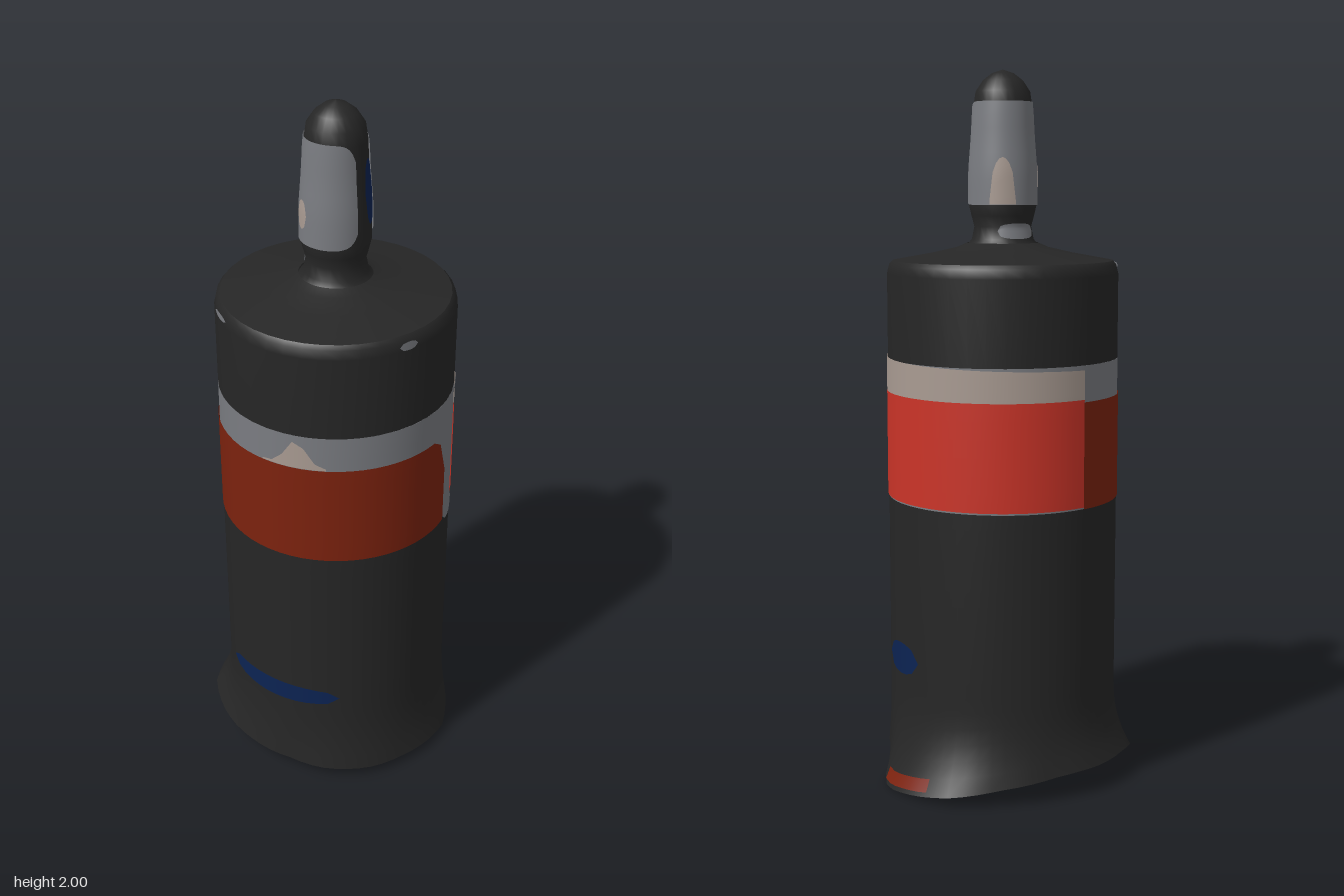
import * as THREE from 'three';
import { mergeVertices } from 'three/addons/utils/BufferGeometryUtils.js';

const mat = (name, color) => new THREE.MeshStandardMaterial({ name, color, side: THREE.DoubleSide });

// Linear lookup in rows of [key, value, ...]
function lookup(rows, key, col = 1) {
  if (key <= rows[0][0]) return rows[0][col];
  for (let i = 1; i < rows.length; i++) {
    if (key <= rows[i][0]) {
      const t = (key - rows[i - 1][0]) / (rows[i][0] - rows[i - 1][0]);
      return THREE.MathUtils.lerp(rows[i - 1][col], rows[i][col], t);
    }
  }
  return rows[rows.length - 1][col];
}

// Ragged lower rim: angle in degrees from the front, radius, height
const RIM = [
  [0, .335, .045], [17, .345, .04], [42, .345, .03], [60, .345, .03], [90, .36, .03],
  [113, .34, .07], [135, .33, .065], [145, .35, .035], [153, .382, .005], [160, .388, 0],
  [178, .395, .015], [193, .395, .03], [214, .36, .05], [239, .35, .07], [250, .355, .075],
  [265, .361, .075], [283, .37, .08], [295, .38, .075], [303, .37, .06], [336, .345, .05],
  [360, .335, .045],
];
const wrap = (a) => ((a % 360) + 360) % 360;
const rimY = (a) => lookup(RIM, wrap(a), 2);

// Body radius: straight wall that flares into the rim
function bodyRadius(a, y) {
  const r = lookup(RIM, wrap(a));
  const t = THREE.MathUtils.clamp((0.24 - y) / (0.24 - rimY(a)), 0, 1);
  return 0.326 + (r - 0.326) * t * t;
}

// Knob profile: height, radius
const KNOB = [
  [1.52, .1], [1.535, .087], [1.57, .08], [1.6, .088], [1.63, .095], [1.72, .094],
  [1.82, .086], [1.9, .082], [1.94, .076], [1.97, .056], [1.99, .03], [2, 0],
];
const knobRadius = (a, y) => lookup(KNOB, y);

// Curved sheet between two angles; lo and hi give its lower and upper edge
function sheet(radius, a0, a1, lo, hi, offset = 0, rows = 6) {
  const cols = Math.max(6, Math.ceil((a1 - a0) / 6));
  const pos = [], index = [];
  for (let i = 0; i <= cols; i++) {
    const u = i / cols, a = a0 + (a1 - a0) * u;
    const y0 = typeof lo === 'function' ? lo(u, a) : lo;
    const y1 = typeof hi === 'function' ? hi(u, a) : hi;
    for (let j = 0; j <= rows; j++) {
      const y = y0 + (y1 - y0) * j / rows;
      const r = radius(a, y) + offset, t = wrap(a) * Math.PI / 180;
      pos.push(r * Math.sin(t), y, r * Math.cos(t));
      if (i < cols && j < rows) {
        const p = i * (rows + 1) + j, q = p + rows + 1;
        index.push(p, q, q + 1, p, q + 1, p + 1);
      }
    }
  }
  let g = new THREE.BufferGeometry();
  g.setAttribute('position', new THREE.Float32BufferAttribute(pos, 3));
  g.setIndex(index);
  g = mergeVertices(g, 1e-5);
  g.computeVertexNormals();
  return g;
}

export function createModel() {
  const black = mat('black', 0x262626);
  const darkRed = mat('dark red', 0x7c220e);
  const red = mat('bright red', 0xcb3428);
  const grey = mat('grey', 0x7a7c81);
  const beige = mat('beige', 0xa99b92);
  const blue = mat('blue', 0x0c2352);

  const group = new THREE.Group();
  const add = (name, geometry, material) => {
    const m = new THREE.Mesh(geometry, material);
    m.name = name;
    m.position.z = 0.03;
    group.add(m);
  };
  const lathe = (pts, n = 40) => new THREE.LatheGeometry(pts.map(([r, y]) => new THREE.Vector2(r, y)), n);
  // Rounded patch edges: 0 at both ends, 1 in the middle
  const bulge = (u, k = 0.5) => Math.pow(Math.max(0, 1 - (2 * u - 1) ** 2), k);
  const oval = (radius, a0, a1, y0, y1, off, k) => {
    const c = (y0 + y1) / 2, h = (y1 - y0) / 2;
    return sheet(radius, a0, a1, (u) => c - h * bulge(u, k), (u) => c + h * bulge(u, k), off);
  };

  // Hollow body
  add('lowerBody', sheet(bodyRadius, 0, 360, (u, a) => rimY(a), 0.81, 0, 18), black);
  add('bandBase', sheet(bodyRadius, 0, 360, 0.81, 1.205), grey);
  add('upperBody', lathe([[.326, 1.205], [.326, 1.44], [.32, 1.465], [.31, 1.476]]), black);
  add('shoulder', lathe([[.31, 1.476], [.2, 1.496], [.13, 1.512], [.1, 1.525]]), black);

  // Coloured bands, with rounded corners beside the vertical seam
  add('frontBand', sheet(bodyRadius, 257, 450, 0.81,
    (u) => 1.105 - 0.12 * Math.max(0, (u - 0.93) / 0.07) ** 3, 0.003), darkRed);
  add('backBand', sheet(bodyRadius, 107, 257, 0.815,
    (u) => 1.112 - 0.025 * Math.max(0, 1 - u / 0.05), 0.003), red);
  add('seam', sheet(bodyRadius, 91, 107, (u) => 0.815 - 0.02 * bulge(u), 0.85, 0.003), grey);
  add('backStripe', sheet(bodyRadius, 114, 257, 1.112, (u) => 1.212 - 0.02 * u, 0.003), beige);
  add('seamStripe', sheet(bodyRadius, 60, 114, 1.2, (u) => 1.2 + 0.02 * u, 0.003), grey);
  add('frontStripeMark', sheet(bodyRadius, -12, 20, 1.106,
    (u) => 1.11 + 0.08 * Math.exp(-(((u - 0.55) / 0.22) ** 2)), 0.003), beige);

  // Marks on the thin lower wall, seen from outside and inside
  for (const off of [0.003, -0.003]) {
    add('frontMark', oval(bodyRadius, -43, 26, 0.275, 0.335, off, 0.3), blue);
    add('backMark', oval(bodyRadius, 139, 169, 0.32, 0.41, off), blue);
    add('rimMark', sheet(bodyRadius, 154, 182, (u, a) => rimY(a) + 0.012, (u, a) => rimY(a) + 0.045, off), darkRed);
  }

  // Worn spots on the shoulder edge
  add('leftEdgeSpot', oval(bodyRadius, 54, 64, 1.44, 1.465, 0.002), grey);
  add('rightEdgeSpot', oval(bodyRadius, -50, -36, 1.45, 1.468, 0.002), grey);

  // Knob with a grey wrap that leaves a dark strip on its left side
  add('knob', lathe(KNOB.map(([y, r]) => [r, y]), 24), black);
  add('knobWrap', sheet(knobRadius, 113, 420,
    (u) => 1.63 + 0.04 * Math.abs(2 * u - 1) ** 16,
    (u) => 1.912 - 0.05 * Math.abs(2 * u - 1) ** 16, 0.003, 8), grey);
  add('knobBackMark', sheet(knobRadius, 193, 236, 1.632, (u) => 1.64 + 0.12 * bulge(u), 0.005), beige);
  add('knobFrontMark', oval(knobRadius, 308, 334, 1.67, 1.75, 0.005), beige);
  add('knobSideMark', oval(knobRadius, 78, 106, 1.68, 1.86, 0.003), blue);
  add('neckMark', oval(knobRadius, 205, 285, 1.537, 1.58, 0.003, 0.3), grey);

  return group;
}
